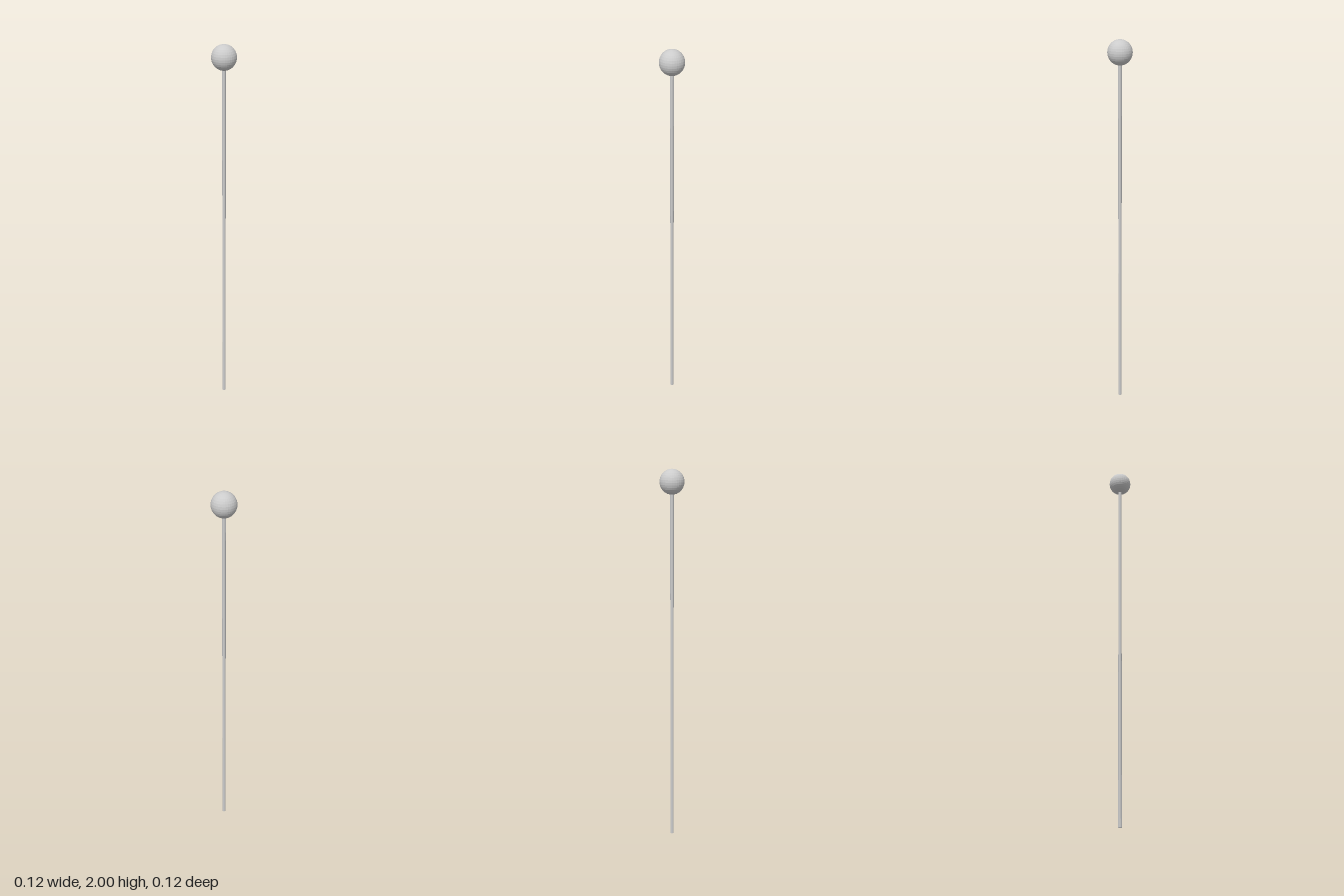
import * as THREE from 'three';

export function createModel() {
  const group = new THREE.Group();
  group.name = 'pinWithBallHead';
  const material = new THREE.MeshStandardMaterial({ color: 0xcccccc, flatShading: true });

  const ballRadius = 0.06;
  const ballCentre = 2 - ballRadius;
  const rodRadius = 0.009;

  // Faceted ball at the top
  const ball = new THREE.Mesh(new THREE.SphereGeometry(ballRadius, 32, 16), material);
  ball.name = 'ballHead';
  ball.position.y = ballCentre;

  // Thin straight rod, ending inside the ball
  const rod = new THREE.Mesh(new THREE.CylinderGeometry(rodRadius, rodRadius, ballCentre, 16), material);
  rod.name = 'rod';
  rod.position.y = ballCentre / 2;

  group.add(ball, rod);
  return group;
}
